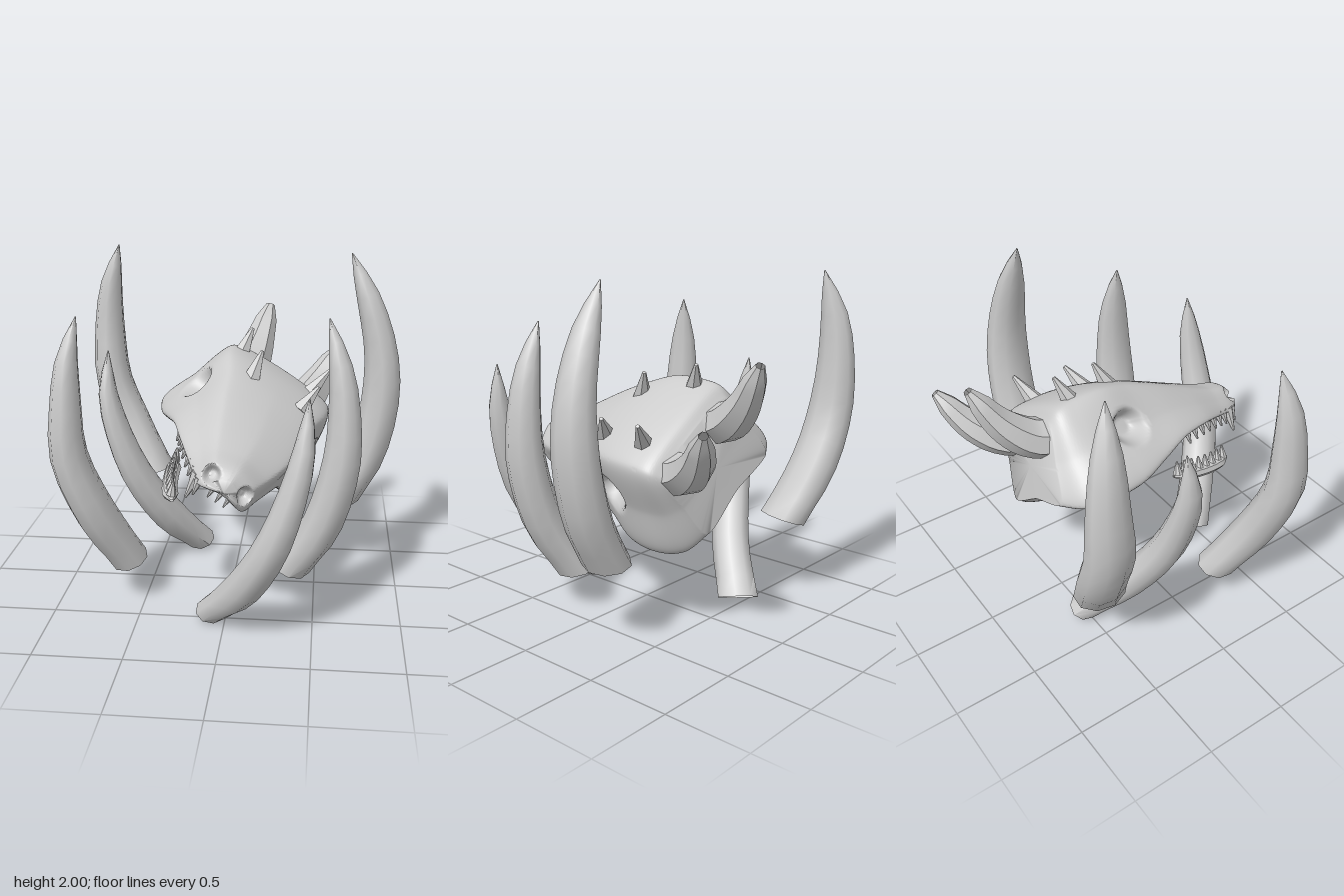
import * as THREE from 'three';
import { toCreasedNormals } from 'three/addons/utils/BufferGeometryUtils.js';

const material = new THREE.MeshStandardMaterial({ color: 0xcccccc, side: THREE.DoubleSide });
const V = (x, y, z) => new THREE.Vector3(x, y, z);

function addMesh(parent, geometry, name, crease = 0.7) {
  const mesh = new THREE.Mesh(toCreasedNormals(geometry, crease), material);
  mesh.name = name;
  parent.add(mesh);
  return mesh;
}

// Tapering open tube along a curve; girth = [x, y, z] factors, level = how level the root is cut
function taper(points, radii, sides, girth, level = 0) {
  const segments = 12;
  const curve = new THREE.CatmullRomCurve3(points.map(p => V(...p)));
  const geometry = new THREE.TubeGeometry(curve, segments, 1, sides);
  const pos = geometry.attributes.position;
  const p = V(0, 0, 0);
  for (let i = 0; i <= segments; i++) {
    const t = i / segments, centre = curve.getPointAt(t);
    const f = t * (radii.length - 1), k = Math.min(Math.floor(f), radii.length - 2);
    const r = THREE.MathUtils.lerp(radii[k], radii[k + 1], f - k);
    const yScale = 1 - level * (1 - THREE.MathUtils.smoothstep(t, 0, 0.25));
    for (let j = 0; j <= sides; j++) {
      const n = i * (sides + 1) + j;
      p.fromBufferAttribute(pos, n).sub(centre).multiplyScalar(r).multiply(V(...girth));
      p.y *= yScale;
      p.add(centre);
      pos.setXYZ(n, p.x, p.y, p.z);
    }
  }
  return geometry;
}

// Blunt cone whose base centre and tip are given
function spike(parent, base, tip, radius, sides, name) {
  const dir = tip.clone().sub(base);
  const geometry = new THREE.CylinderGeometry(radius * 0.2, radius, dir.length(), sides);
  geometry.translate(0, dir.length() / 2, 0);
  const mesh = addMesh(parent, geometry, name);
  mesh.position.copy(base);
  mesh.quaternion.setFromUnitVectors(V(0, 1, 0), dir.normalize());
}

// Skull sections, back to snout: top z, bottom z, bottom left/right/height, top left/right/height
const SECTIONS = [
  [-0.55, -0.65, -0.30, 0.33, -0.27, -0.27, 0.36, 0.17],
  [-0.49, -0.55, -0.43, 0.45, -0.32, -0.31, 0.39, 0.22],
  [-0.39, -0.42, -0.49, 0.50, -0.32, -0.32, 0.39, 0.24],
  [-0.20, -0.20, -0.47, 0.48, -0.31, -0.32, 0.37, 0.24],
  [0.00, 0.00, -0.43, 0.38, -0.25, -0.27, 0.32, 0.20],
  [0.20, 0.20, -0.38, 0.31, -0.19, -0.23, 0.29, 0.13],
  [0.40, 0.40, -0.31, 0.25, -0.18, -0.18, 0.26, 0.05],
  [0.60, 0.60, -0.20, 0.19, -0.20, -0.13, 0.19, -0.03],
  [0.74, 0.74, -0.13, 0.15, -0.21, -0.10, 0.13, -0.07],
  [0.80, 0.80, -0.07, 0.09, -0.18, -0.06, 0.08, -0.12],
];

// Eye sockets and nostrils: centre, radii, push
const HOLLOWS = [-1, 1].flatMap(s => [
  { c: V(s * 0.39, -0.01, -0.13), r: V(0.2, 0.12, 0.13), push: V(-s * 0.12, 0, 0) },
  { c: V(s * 0.10 + 0.01, -0.12, 0.75), r: V(0.06, 0.06, 0.08), push: V(-s * 0.02, -0.02, -0.07) },
]);

// Eight lengthwise curves through the corners of the sections
function skullCurves() {
  const rings = SECTIONS.map(([zt, zb, bl, br, vb, tl, tr, vt]) => {
    const vm = (vb + vt) / 2, zm = (zt + zb) / 2;
    return [
      V(bl, vb, zb), V((bl + tl) / 2 - 0.015, vm, zm), V(tl, vt, zt), V((tl + tr) / 2, vt + 0.04, zt),
      V(tr, vt, zt), V((br + tr) / 2 + 0.015, vm, zm), V(br, vb, zb), V((bl + br) / 2, vb + 0.02, zb),
    ];
  });
  return rings[0].map((_, j) => new THREE.CatmullRomCurve3(rings.map(r => r[j])));
}

function skullGeometry(curves) {
  const rows = 150, around = 144, positions = [], index = [];
  for (let i = 0; i <= rows; i++) {
    const ring = new THREE.CatmullRomCurve3(curves.map(c => c.getPoint(i / rows)), true, 'catmullrom', 0.35);
    for (let j = 0; j < around; j++) {
      const p = ring.getPoint(j / around);
      for (const { c, r, push } of HOLLOWS) {
        const d = p.clone().sub(c).divide(r).length();
        if (d < 1) p.addScaledVector(push, 1 - THREE.MathUtils.smoothstep(d, 0.4, 1));
      }
      positions.push(p.x, p.y, p.z);
      if (i === rows) continue;
      const a = i * around + j, b = i * around + (j + 1) % around;
      index.push(a, a + around, b, b, a + around, b + around);
    }
  }
  // Closed back and snout tip
  const back = positions.length / 3, last = rows * around;
  positions.push(0.04, -0.06, -0.605, 0.01, -0.15, 0.81);
  for (let j = 0; j < around; j++) {
    const k = (j + 1) % around;
    index.push(back, j, k, back + 1, last + k, last + j);
  }
  const geometry = new THREE.BufferGeometry();
  geometry.setAttribute('position', new THREE.Float32BufferAttribute(positions, 3));
  geometry.setIndex(index);
  return geometry;
}

function createSkull() {
  const skull = new THREE.Group();
  skull.name = 'skull';
  skull.position.set(0.1, 1.03, 0);
  skull.rotation.z = -0.576;
  const curves = skullCurves();
  addMesh(skull, skullGeometry(curves), 'cranium', 1);
  // Upper teeth along the right lip, with one long fang
  for (let i = 0; i < 9; i++) {
    const base = curves[0].getPoint((5.2 + i * 0.33) / (SECTIONS.length - 1));
    base.x *= 0.9;
    base.y += 0.025;
    const length = i === 7 ? 0.15 : 0.095;
    spike(skull, base, base.clone().add(V(0.015, -length, 0.01)), i === 7 ? 0.038 : 0.028, 7, 'upperTooth');
  }
  for (let i = -1; i <= 1; i++) {
    spike(skull, V(0.01 + i * 0.05, -0.17, 0.72), V(0.01 + i * 0.05, -0.25, 0.73), 0.02, 7, 'frontTooth');
  }
  return skull;
}

// Loose piece of lower jaw with a row of teeth
function createJaw() {
  const jaw = new THREE.Group();
  jaw.name = 'lowerJaw';
  const path = [[-0.33, 0.82, 0.11], [-0.335, 0.79, 0.25], [-0.325, 0.76, 0.4], [-0.29, 0.74, 0.55]];
  addMesh(jaw, taper(path, [0.01, 0.045, 0.045, 0.045, 0.045, 0.045, 0.01], 8, [1, 0.8, 1]), 'jawBone');
  const curve = new THREE.CatmullRomCurve3(path.map(p => V(...p)));
  for (let i = 0; i < 8; i++) {
    const base = curve.getPointAt(0.07 + i * 0.12).add(V(0, 0.015, 0));
    spike(jaw, base, base.clone().add(V(0.015, 0.08, 0)), 0.03, 7, 'lowerTooth');
  }
  return jaw;
}

// Tusk paths from root to tip
const TUSKS = [
  { r: 0.118, path: [[0.65, 0.485, -0.285], [0.79, 0.75, -0.29], [0.87, 1.1, -0.29], [0.865, 1.4, -0.285], [0.79, 1.7, -0.28], [0.67, 2, -0.28]] },
  { r: 0.112, path: [[0.37, 0.235, 0.25], [0.54, 0.55, 0.33], [0.64, 0.95, 0.36], [0.64, 1.3, 0.35], [0.61, 1.5, 0.34], [0.55, 1.73, 0.32]] },
  { r: 0.1, path: [[-0.075, 0.045, 0.48], [0.12, 0.3, 0.68], [0.28, 0.6, 0.81], [0.385, 0.9, 0.83], [0.44, 1.15, 0.82], [0.46, 1.42, 0.8]] },
  { r: 0.112, path: [[-0.6, 0.245, 0.26], [-0.76, 0.6, 0.41], [-0.88, 0.95, 0.465], [-0.885, 1.25, 0.46], [-0.87, 1.5, 0.44], [-0.82, 1.73, 0.4]] },
  { r: 0.118, path: [[-0.58, 0.495, -0.59], [-0.75, 0.8, -0.68], [-0.87, 1.1, -0.71], [-0.89, 1.4, -0.73], [-0.87, 1.7, -0.72], [-0.8, 1.98, -0.68]] },
  { r: 0.1, path: [[-0.27, 0.045, -0.5], [-0.45, 0.3, -0.3], [-0.62, 0.6, -0.18], [-0.73, 0.9, -0.14], [-0.785, 1.15, -0.14], [-0.78, 1.41, -0.17]] },
];

export function createModel() {
  const model = new THREE.Group();
  model.name = 'hornedSkullWithTusks';
  model.add(createSkull(), createJaw());

  for (const { r, path } of TUSKS) {
    const radii = [1.15, 1.1, 1.08, 1.06, 1, 0.89, 0.75, 0.54, 0.03].map(k => k * r);
    addMesh(model, taper(path, radii, 9, [0.95, 1, 1.15], 0.5), 'tusk', 0.9);
  }

  // Two rear horns
  const hornRadii = [0.14, 0.138, 0.13, 0.115, 0.095, 0.075, 0.03];
  const horns = [
    [[0.01, 1.18, -0.5], [0.04, 1.21, -0.62], [0.09, 1.34, -0.77], [0.16, 1.57, -0.91]],
    [[0.35, 0.97, -0.5], [0.4, 0.99, -0.62], [0.49, 1.09, -0.77], [0.62, 1.29, -0.91]],
  ];
  for (const path of horns) addMesh(model, taper(path, hornRadii, 7, [0.95, 0.85, 0.85]), 'rearHorn');

  // Four crown spikes
  const spikes = [
    [[0.10, 1.28, -0.05], [0.16, 1.44, -0.12]],
    [[0.39, 1.10, -0.04], [0.50, 1.23, -0.11]],
    [[0.01, 1.35, -0.36], [0.08, 1.51, -0.43]],
    [[0.43, 1.11, -0.36], [0.56, 1.25, -0.43]],
  ];
  for (const [base, tip] of spikes) spike(model, V(...base), V(...tip), 0.058, 6, 'crownSpike');
  return model;
}
